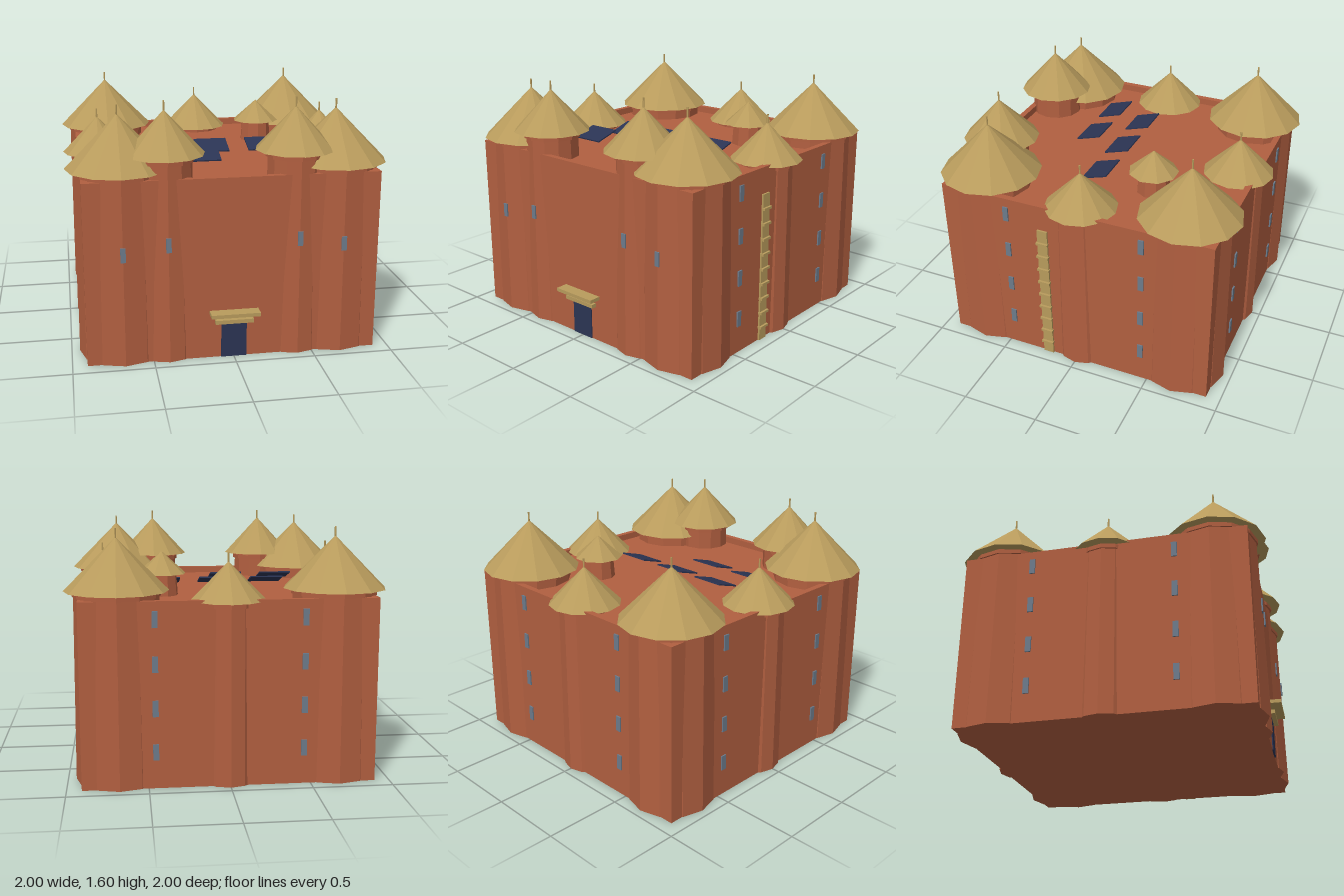
import * as THREE from 'three';

function material(name, color) {
  const m = new THREE.MeshStandardMaterial({ color, flatShading: true });
  m.name = name;
  return m;
}

export function createModel() {
  const clay = material('red clay', 0xb15f40);
  const straw = material('straw', 0xb89b5c);
  const navy = material('dark navy', 0x2b3454);
  const glass = material('grey blue', 0x6c7b8b);
  const model = new THREE.Group();

  function add(parent, name, geometry, mat, x, y, z) {
    const mesh = new THREE.Mesh(geometry, mat);
    mesh.name = name;
    mesh.position.set(x, y, z);
    parent.add(mesh);
    return mesh;
  }
  const box = (name, w, h, d, mat, x, y, z) =>
    add(model, name, new THREE.BoxGeometry(w, h, d), mat, x, y, z);

  // Round tower: tapered body, collar, straw cone and finial
  function tower(name, x, z, o) {
    const g = new THREE.Group();
    g.name = name;
    g.position.set(x, 0, z);
    const n = o.sides ?? 12, y0 = o.bottom ?? 0;
    add(g, 'towerBody', new THREE.CylinderGeometry(o.top, o.base, o.eave - y0, n), clay, 0, (o.eave + y0) / 2, 0);
    if (o.collar) {
      add(g, 'collar', new THREE.CylinderGeometry(o.collar, o.collar, 0.027, n), clay, 0, o.collarY, 0);
    }
    add(g, 'strawRoof', new THREE.ConeGeometry(o.roof, o.apex - o.eave, n), straw, 0, (o.apex + o.eave) / 2, 0);
    if (o.finial) {
      add(g, 'finial', new THREE.CylinderGeometry(0.006, 0.006, 0.09, 6), straw, 0, o.finial - 0.045, 0);
    }
    model.add(g);
  }

  // Main block with a sunken flat roof and a low parapet
  const roofY = 1.11, half = 0.908, rim = 0.04, wallTop = 1.155;
  box('mainBlock', half * 2, roofY, half * 2, clay, 0, roofY / 2, 0);
  for (const s of [-1, 1]) {
    const y = (roofY + wallTop) / 2, h = wallTop - roofY;
    box('parapetAcross', half * 2, h, rim, clay, 0, y, s * (half - rim / 2));
    box('parapetSide', rim, h, (half - rim) * 2, clay, s * (half - rim / 2), y, 0);
  }

  // Towers
  const corner = { base: 0.272, top: 0.262, eave: 1.19, collar: 0.272, collarY: 1.171, roof: 0.323, apex: 1.515, finial: 1.57 };
  const front = { base: 0.19, top: 0.17, eave: 1.28, collar: 0.184, collarY: 1.253, roof: 0.247, apex: 1.545, finial: 1.6 };
  const middle = { base: 0.178, top: 0.167, eave: 1.138, collar: 0.177, collarY: 1.116, roof: 0.231, apex: 1.372, finial: 1.425 };
  for (const s of [-1, 1]) {
    tower('frontCornerTower', s * 0.677, 0.677, corner);
    tower('backCornerTower', s * 0.677, -0.677, corner);
    tower('gateTower', s * 0.403, 0.75, front);
    tower('sideTower', s * 0.769, 0, middle);
  }
  tower('backTower', 0, -0.769, middle);
  tower('roofTurret', 0.385, -0.325, { sides: 9, bottom: roofY, base: 0.108, top: 0.098, eave: 1.25, roof: 0.16, apex: 1.395 });

  // Windows on the front towers
  for (const s of [-1, 1]) {
    box('cornerTowerWindow', 0.032, 0.09, 0.009, glass, s * 0.677, 0.717, 0.948);
    box('gateTowerWindow', 0.032, 0.09, 0.009, glass, s * 0.403, 0.76, 0.938);
  }
  // Four window rows on the sides and back
  for (let row = 0; row < 4; row++) {
    const y = 0.23 + row * 0.272;
    for (const s of [-1, 1]) {
      for (const t of [-1, 1]) {
        box('sideWindow', 0.009, 0.1, 0.036, glass, s * 0.913, y, t * 0.455);
      }
      box('backWindow', 0.036, 0.1, 0.009, glass, s * 0.455, y, -0.913);
    }
  }

  // Door with a lintel and a canopy beam
  box('door', 0.16, 0.228, 0.009, navy, 0, 0.114, 0.91);
  box('lintel', 0.24, 0.025, 0.045, straw, 0, 0.243, 0.92);
  box('canopy', 0.306, 0.023, 0.09, straw, 0, 0.3, 0.942);

  // Stepped ladder on the left wall
  box('ladderBoard', 0.012, 0.985, 0.07, straw, 0.914, 0.4925, 0.203);
  for (let i = 0; i < 9; i++) {
    box('ladderStep', 0.026, 0.016, 0.08, straw, 0.922, 0.09 + i * 0.1, 0.203);
  }

  // Tilted solar panels on the roof
  const panels = [[-0.355, 0.052], [0, 0.052], [0.355, 0.052], [-0.455, 0.305], [-0.1, 0.305]];
  for (const [x, z] of panels) {
    box('solarPanel', 0.222, 0.009, 0.174, navy, x, 1.158, z).rotation.x = 0.29;
  }
  return model;
}
